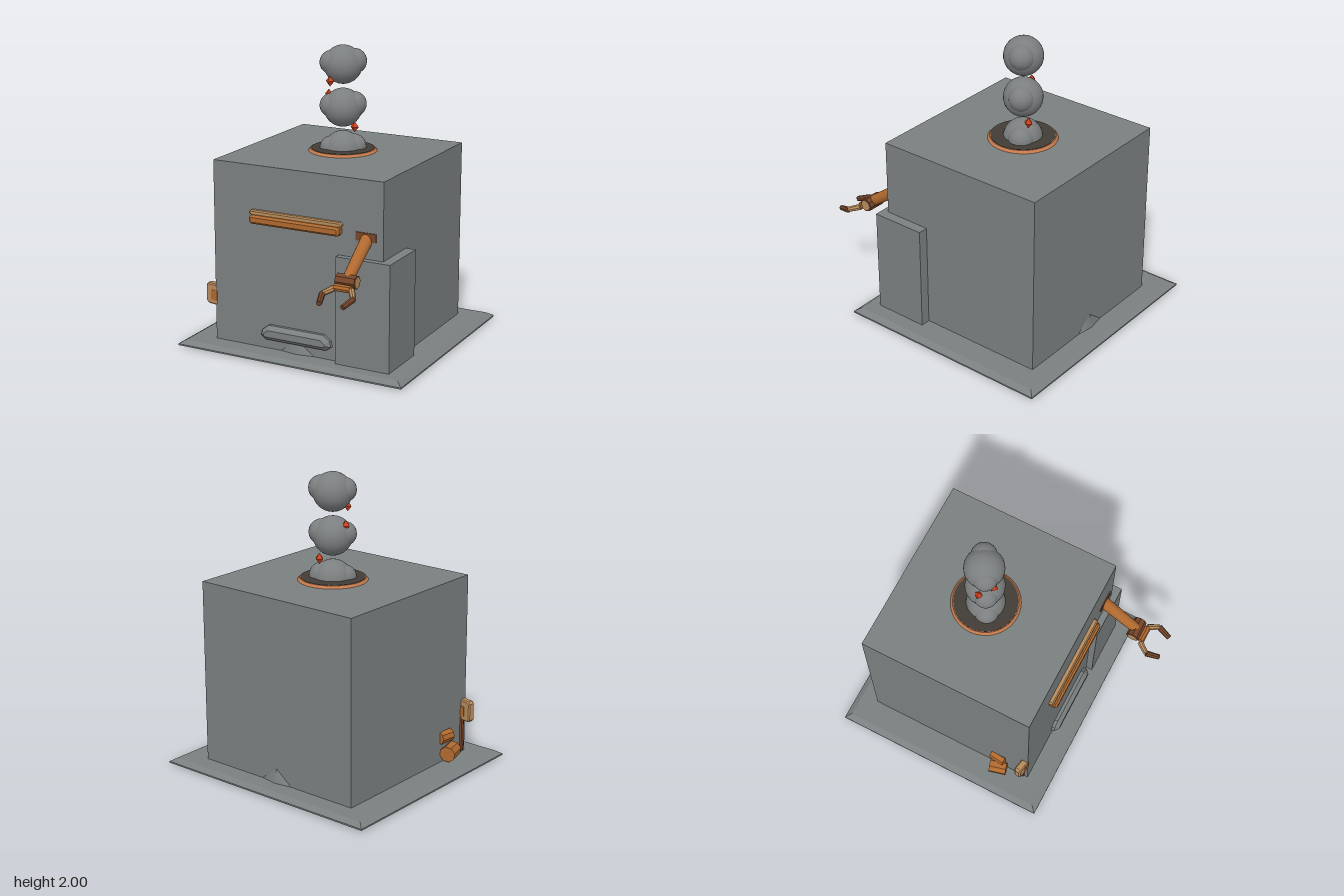
import * as THREE from 'three';

export function createModel() {
  const root = new THREE.Group();
  const mat = (name, color, flat = false) =>
    Object.assign(new THREE.MeshStandardMaterial({ color, flatShading: flat }), { name });
  const stone = mat('stone', 0x7a7f7f);
  const smoke = mat('smoke', 0x7c7f80);
  const copper = mat('copper', 0xb0692f);
  const tan = mat('tan', 0xb88c5c);
  const brown = mat('brown', 0x75452a);
  const soot = mat('soot', 0x433c36);
  const rim = mat('rim', 0xc47a4c);
  const ember = mat('ember', 0xd0401a, true);

  const add = (name, geo, material, x = 0, y = 0, z = 0, parent = root) => {
    const m = new THREE.Mesh(geo, material);
    m.name = name;
    m.position.set(x, y, z);
    parent.add(m);
    return m;
  };
  // Box given by its minimum and maximum corners
  const box = (name, material, a, b) =>
    add(name, new THREE.BoxGeometry(b[0] - a[0], b[1] - a[1], b[2] - a[2]), material,
      (a[0] + b[0]) / 2, (a[1] + b[1]) / 2, (a[2] + b[2]) / 2);
  // Box whose top is scaled to make sloping sides
  const frustum = (w, h, d, sx, sz) => {
    const g = new THREE.BoxGeometry(w, h, d);
    const p = g.attributes.position;
    for (let i = 0; i < p.count; i++) {
      if (p.getY(i) > 0) p.setXYZ(i, p.getX(i) * sx, p.getY(i), p.getZ(i) * sz);
    }
    g.computeVertexNormals();
    return g;
  };
  // Faceted rod between two points
  const rod = (name, material, a, b, r0, r1 = r0, sides = 8, parent = root) => {
    const from = new THREE.Vector3(...a), to = new THREE.Vector3(...b);
    const dir = to.clone().sub(from);
    const g = new THREE.CylinderGeometry(r1, r0, dir.length(), sides).toNonIndexed();
    if (sides < 12) g.computeVertexNormals();
    const m = add(name, g, material, 0, 0, 0, parent);
    m.position.copy(from).add(to).multiplyScalar(0.5);
    m.quaternion.setFromUnitVectors(new THREE.Vector3(0, 1, 0), dir.normalize());
    return m;
  };
  // Chamfered solid from an outline, starting at z = 0 and facing +z
  const chamfered = (pts, depth, bevel) => {
    const g = new THREE.ExtrudeGeometry(new THREE.Shape(pts.map((p) => new THREE.Vector2(...p))), {
      depth: depth - bevel, bevelEnabled: true, bevelSegments: 1,
      bevelSize: bevel, bevelOffset: -bevel, bevelThickness: bevel,
    });
    return g;
  };
  const bar = (w, h, c) => [
    [-w + c, -h], [w - c, -h], [w, -h + c], [w, h - c], [w - c, h], [-w + c, h], [-w, h - c], [-w, -h + c],
  ];

  // Base slab, main block and side block
  box('baseEdge', stone, [-0.83, 0.01, -0.93], [0.83, 0.02, 0.6]);
  add('baseSlab', frustum(1.66, 0.025, 1.53, 0.95, 0.95), stone, 0, 0.0325, -0.165);
  box('mainBlock', stone, [-0.623, 0, -0.775], [0.621, 1.287, 0.44]);
  box('sideBlock', stone, [0.305, 0, 0.105], [0.69, 0.77, 0.485]);

  // Chimney collar and sooty opening
  add('chimneyCollar', new THREE.CylinderGeometry(0.217, 0.232, 0.018, 40), rim, 0, 1.295, -0.2);
  add('chimneyOpening', new THREE.CylinderGeometry(0.212, 0.212, 0.004, 40), soot, 0, 1.3045, -0.2);

  // Smoke puffs
  [1.29, 1.58, 1.87].forEach((y) => {
    const puff = new THREE.Group();
    puff.name = 'smokePuff';
    puff.position.set(0, y, -0.2);
    root.add(puff);
    add('puffCore', new THREE.SphereGeometry(0.13, 28, 20), smoke, 0, 0, 0, puff);
    add('puffLeft', new THREE.SphereGeometry(0.085, 22, 16), smoke, 0.065, 0.022, -0.035, puff);
    add('puffRight', new THREE.SphereGeometry(0.08, 22, 16), smoke, -0.065, 0.015, 0.04, puff);
  });

  // Embers
  [[-0.05, 1.767, -0.11], [-0.1, 1.66, -0.19], [0.047, 1.435, -0.28]].forEach((p) => {
    add('ember', new THREE.OctahedronGeometry(0.037), ember, ...p).scale.set(0.85, 1, 0.85);
  });

  // Mantel rail
  add('mantelTop', chamfered(bar(0.337, 0.018, 0.012), 0.04, 0.008), tan, 0, 0.973, 0.43);
  add('mantelRail', chamfered(bar(0.33, 0.03, 0.014), 0.065, 0.014), copper, 0, 0.933, 0.43);

  // Stone tray with ash below, and ash at the back
  add('tray', chamfered([[-0.225, 0.113], [0.225, 0.113], [0.262, 0.14], [0.25, 0.18], [0.205, 0.215],
    [-0.205, 0.215], [-0.25, 0.18], [-0.262, 0.14]], 0.06, 0.028), stone, 0, 0, 0.43);
  [0.44, -0.775].forEach((z) => {
    add('ashPile', new THREE.ConeGeometry(1, 0.1, 4).toNonIndexed(), stone, 0, 0.09, z)
      .scale.set(0.13, 1, 0.02);
  });

  // Front arm
  box('armMount', brown, [0.428, 0.887, 0.42], [0.572, 0.943, 0.447]);
  rod('upperArm', copper, [0.5, 0.91, 0.41], [0.5, 0.71, 0.69], 0.042, 0.036, 16);
  rod('elbow', brown, [0.432, 0.7, 0.695], [0.568, 0.7, 0.695], 0.045);
  [-1, 1].forEach((s) => {
    rod('elbowCap', tan, [0.5 + s * 0.066, 0.7, 0.695], [0.5 + s * 0.071, 0.7, 0.695], 0.036);
  });
  rod('palm', copper, [0.445, 0.67, 0.755], [0.555, 0.67, 0.755], 0.025);
  [-1, 1].forEach((s) => {
    const claw = new THREE.Group();
    claw.name = s > 0 ? 'clawLeft' : 'clawRight';
    root.add(claw);
    rod('clawBase', tan, [0.5 + s * 0.06, 0.664, 0.755], [0.5 + s * 0.108, 0.64, 0.825], 0.022, 0.018, 8, claw);
    rod('clawTip', brown, [0.5 + s * 0.108, 0.637, 0.825], [0.5 + s * 0.08, 0.607, 0.915], 0.021, 0.018, 8, claw);
  });

  // Tools on the right wall: mallet and small limb
  rod('malletHandle', brown, [-0.622, 0.06, 0.4], [-0.622, 0.3, 0.4], 0.018);
  const mallet = add('malletHead', chamfered(bar(0.055, 0.073, 0.016), 0.042, 0.008), tan, -0.65, 0.352, 0.392);
  mallet.rotation.y = -0.2;
  [-0.011, 0.0425].forEach((z) => {
    add('malletPlate', new THREE.BoxGeometry(0.055, 0.07, 0.004), copper, 0.02, -0.005, z, mallet);
  });
  rod('limbUpper', copper, [-0.612, 0.215, 0.16], [-0.625, 0.215, 0.265], 0.045);
  rod('limbFoot', copper, [-0.675, 0.11, 0.17], [-0.645, 0.11, 0.285], 0.055);

  return root;
}
